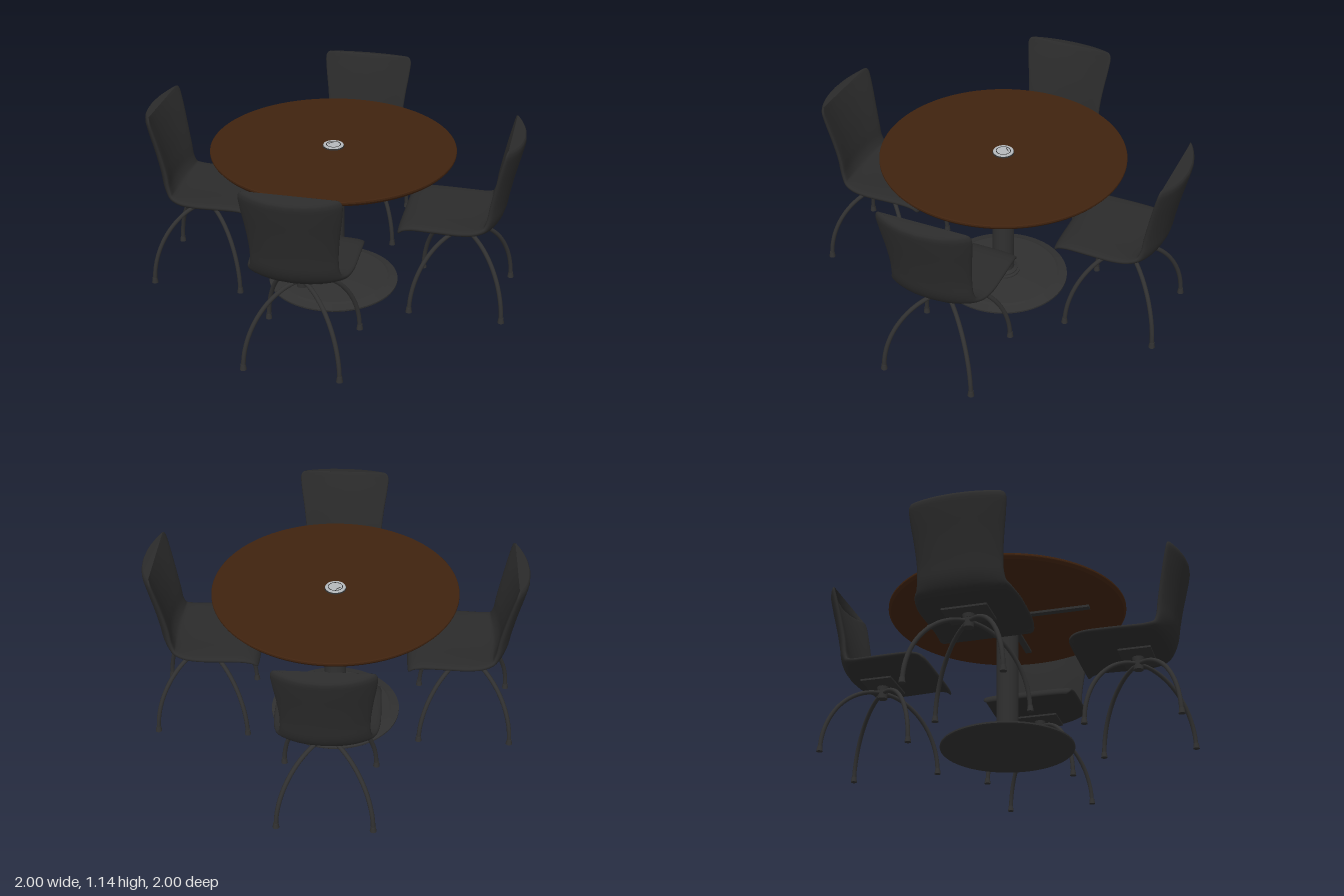
import * as THREE from 'three';

const mat = (name, color, side = THREE.FrontSide) => {
  const m = new THREE.MeshStandardMaterial({ color, side });
  m.name = name;
  return m;
};

const V = (x, y, z) => new THREE.Vector3(x, y, z);

function add(parent, name, geometry, material, y = 0) {
  const mesh = new THREE.Mesh(geometry, material);
  mesh.name = name;
  mesh.position.y = y;
  parent.add(mesh);
  return mesh;
}

// Turned part with crisp edges: every profile segment is its own band
function turned(parent, name, profile, material, sides = 64) {
  const group = new THREE.Group();
  group.name = name;
  for (let i = 0; i < profile.length - 1; i++) {
    const pts = [profile[i], profile[i + 1]].map(([r, y]) => new THREE.Vector2(r, y));
    add(group, name + 'Band', new THREE.LatheGeometry(pts, sides), material);
  }
  parent.add(group);
}

// Padded one-piece shell: stations of [forward, height, halfWidth, thickness, sideBow]
function shellGeometry() {
  const stations = [
    [0.362, 0.532, 0.270, 0.012, 0.000],
    [0.357, 0.545, 0.288, 0.034, 0.002],
    [0.335, 0.563, 0.296, 0.048, 0.005],
    [0.280, 0.573, 0.302, 0.056, 0.010],
    [0.140, 0.568, 0.306, 0.060, 0.016],
    [0.000, 0.562, 0.306, 0.060, 0.020],
    [-0.100, 0.561, 0.292, 0.060, 0.028],
    [-0.175, 0.580, 0.268, 0.060, 0.040],
    [-0.215, 0.640, 0.256, 0.060, 0.050],
    [-0.235, 0.740, 0.254, 0.060, 0.055],
    [-0.262, 0.870, 0.266, 0.058, 0.058],
    [-0.295, 1.000, 0.284, 0.054, 0.064],
    [-0.318, 1.085, 0.290, 0.046, 0.068],
    [-0.323, 1.108, 0.282, 0.036, 0.068],
    [-0.326, 1.120, 0.262, 0.014, 0.066],
  ];
  const path = new THREE.CatmullRomCurve3(stations.map(([u, y, w]) => V(u, y, w)));
  const form = new THREE.CatmullRomCurve3(stations.map(([, , , t, b]) => V(t, b, 0)));
  const rows = 56, n = 36, pos = [], idx = [];
  const power = (v, e) => Math.sign(v) * Math.abs(v) ** e;
  for (let i = 0; i <= rows; i++) {
    const k = i / rows, c = path.getPoint(k), f = form.getPoint(k);
    const d = path.getPoint(Math.min(1, k + 0.01)).sub(path.getPoint(Math.max(0, k - 0.01)));
    const len = Math.hypot(d.x, d.y), nu = d.y / len, ny = -d.x / len;
    for (let j = 0; j < n; j++) {
      const a = (j / n) * Math.PI * 2, s = power(Math.cos(a), 0.6);
      const o = power(Math.sin(a), 0.75) * f.x / 2 + f.y * s * s;
      pos.push(c.z * s, c.y + ny * o, c.x + nu * o);
    }
  }
  for (let i = 0; i < rows; i++) {
    for (let j = 0; j < n; j++) {
      const a = i * n + j, b = i * n + (j + 1) % n;
      idx.push(a, a + n, b, b, a + n, b + n);
    }
  }
  // Close the front lip and the top edge
  const last = rows * n;
  for (let j = 1; j < n - 1; j++) {
    idx.push(0, j, j + 1, last, last + j + 1, last + j);
  }
  const g = new THREE.BufferGeometry();
  g.setAttribute('position', new THREE.Float32BufferAttribute(pos, 3));
  g.setIndex(idx);
  g.computeVertexNormals();
  return g;
}

export function createModel() {
  const model = new THREE.Group();
  model.name = 'diningSet';
  const wood = mat('dark wood', 0x40230f);
  const fabric = mat('black upholstery', 0x2b2b2b);
  const metal = mat('dark metal', 0x303030);
  const silver = mat('silver', 0xb4b8bb);

  // Table
  const table = new THREE.Group();
  table.name = 'table';
  model.add(table);
  turned(table, 'tableTop', [[0, 0.907], [0.735, 0.907], [0.748, 0.922], [0.75, 0.926], [0.75, 0.936], [0.746, 0.94], [0, 0.94]], wood, 96);
  turned(table, 'base', [[0, 0.005], [0.405, 0.005], [0.41, 0.01], [0.41, 0.02], [0.36, 0.034], [0.345, 0.04], [0.1, 0.043]], metal);
  turned(table, 'baseCollar', [[0.105, 0.04], [0.105, 0.052], [0.09, 0.056], [0.09, 0.064], [0.07, 0.075]], metal, 40);
  add(table, 'column', new THREE.CylinderGeometry(0.068, 0.068, 0.85, 40), metal, 0.465);
  turned(table, 'topCollar', [[0.068, 0.853], [0.082, 0.853], [0.092, 0.868], [0.092, 0.892], [0, 0.892]], metal, 40);
  for (const turn of [1, -1]) {
    const bar = add(table, 'supportBar', new THREE.BoxGeometry(1.06, 0.016, 0.04), metal, 0.9);
    bar.rotation.y = turn * Math.PI / 4;
  }

  // Round fitting in the middle of the table
  add(table, 'fittingRim', new THREE.CylinderGeometry(0.064, 0.066, 0.008, 40), metal, 0.944);
  add(table, 'fittingPlate', new THREE.CylinderGeometry(0.061, 0.063, 0.004, 24), silver, 0.95);
  const ring = add(table, 'fittingRing', new THREE.TorusGeometry(0.043, 0.0025, 6, 40), metal, 0.9515);
  ring.rotation.x = Math.PI / 2;
  const slot = add(table, 'fittingSlot', new THREE.BoxGeometry(0.036, 0.002, 0.004), metal, 0.9525);
  slot.position.z = -0.026;

  // Chair parts shared by all four chairs
  const shell = shellGeometry();
  const legPoints = [];
  for (let i = 0; i <= 10; i++) {
    const a = 0.06 + (i / 10) * (Math.PI / 2 - 0.09);
    legPoints.push(V(0.4 * Math.sin(a), 0.47 * Math.cos(a), 0));
  }
  const legTube = new THREE.TubeGeometry(new THREE.CatmullRomCurve3(legPoints), 32, 0.0135, 10);
  const foot = new THREE.CylinderGeometry(0.015, 0.02, 0.034, 16);

  for (const sx of [-1, 1]) {
    for (const sz of [-1, 1]) {
      const chair = new THREE.Group();
      chair.name = 'chair';
      chair.position.set(sx * 0.58, 0, sz * 0.58);
      chair.rotation.y = Math.atan2(-sx, -sz);
      model.add(chair);
      add(chair, 'seatShell', shell, fabric);
      add(chair, 'mountingPlate', new THREE.BoxGeometry(0.27, 0.012, 0.2), metal, 0.516);
      add(chair, 'swivel', new THREE.CylinderGeometry(0.038, 0.034, 0.03, 24), metal, 0.498);
      add(chair, 'hub', new THREE.CylinderGeometry(0.033, 0.03, 0.06, 24), metal, 0.46);
      for (let i = 0; i < 4; i++) {
        const leg = new THREE.Group();
        leg.name = 'leg';
        leg.rotation.y = Math.PI / 4 + i * Math.PI / 2;
        chair.add(leg);
        add(leg, 'legTube', legTube, metal);
        add(leg, 'foot', foot, metal, 0.017).position.x = 0.4;
      }
    }
  }
  return model;
}
